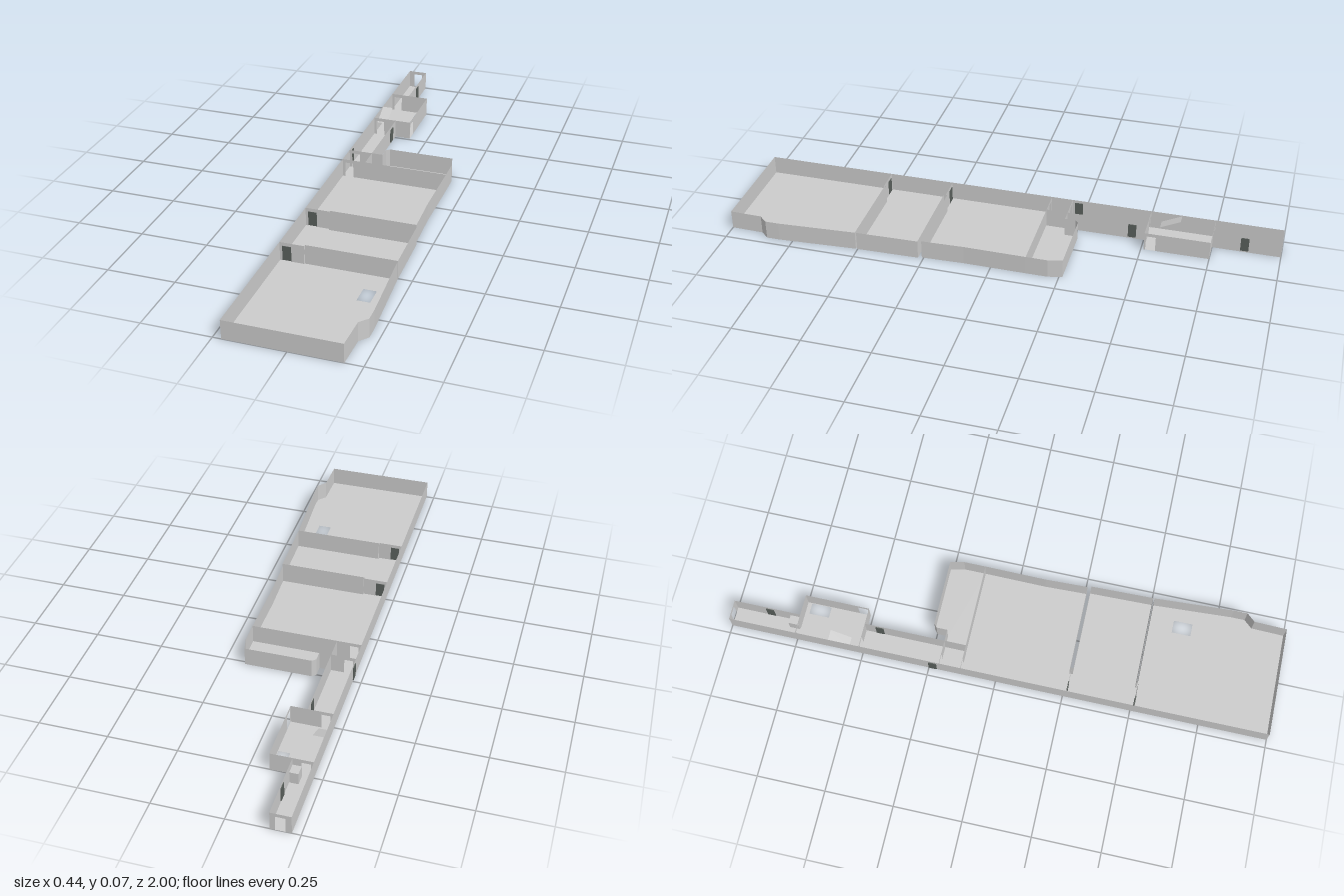
import * as THREE from 'three';

const H = 0.071, DOOR_H = 0.058;
const grey = new THREE.MeshStandardMaterial({ color: 0xcccccc, side: THREE.DoubleSide, flatShading: true });
const dark = new THREE.MeshStandardMaterial({ color: 0x5a605c, side: THREE.DoubleSide, flatShading: true });

function rectPath(x0, y0, x1, y1) {
  return new THREE.Path([[x0, y0], [x1, y0], [x1, y1], [x0, y1]].map(p => new THREE.Vector2(...p)));
}

export function createModel() {
  const model = new THREE.Group();
  const add = (name, geo, mat = grey) => {
    const m = new THREE.Mesh(geo, mat);
    m.name = name;
    model.add(m);
    return m;
  };

  // Floor from [x, z] corners, with optional rectangular openings
  const floor = (name, pts, holes = []) => {
    const s = new THREE.Shape(pts.map(([x, z]) => new THREE.Vector2(x, -z)));
    holes.forEach(([x0, z0, x1, z1]) => s.holes.push(rectPath(x0, -z1, x1, -z0)));
    add(name, new THREE.ShapeGeometry(s).rotateX(-Math.PI / 2));
  };

  // Upright wall sheet between two plan points; door = [start, end] along its length
  const wall = (name, [x0, z0], [x1, z1], door) => {
    const len = Math.hypot(x1 - x0, z1 - z0);
    const pts = [[0, 0]];
    if (door) pts.push([door[0], 0], [door[0], DOOR_H], [door[1], DOOR_H], [door[1], 0]);
    pts.push([len, 0], [len, H], [0, H]);
    const geo = new THREE.ShapeGeometry(new THREE.Shape(pts.map(p => new THREE.Vector2(...p))));
    geo.rotateY(-Math.atan2(z1 - z0, x1 - x0)).translate(x0, 0, z0);
    add(name, geo);
  };
  const walls = (name, pts) => pts.slice(1).forEach((p, i) => wall(name, pts[i], p));

  const box = (name, x0, y0, z0, x1, y1, z1, mat) =>
    add(name, new THREE.BoxGeometry(x1 - x0, y1 - y0, z1 - z0), mat)
      .position.set((x0 + x1) / 2, (y0 + y1) / 2, (z0 + z1) / 2);

  const L = -0.22, C = -0.13, B = -0.148, R = -0.07;

  // Floors
  floor('frontRoomFloor',
    [[L, 0.51], [C, 0.51], [C, 0.507], [0.2, 0.507], [0.217, 0.8], [0.217, 0.85], [0.19, 0.88], [0.187, 1], [L, 1]],
    [[0.11, 0.595, 0.157, 0.665]]);
  floor('middleRoomFloor', [[L, 0.27], [0.195, 0.27], [0.2, 0.502], [C, 0.502], [C, 0.51], [L, 0.51]]);
  floor('largeRoomFloor', [[L, -0.13], [0.187, -0.13], [0.185, 0.1], [0.19, 0.257], [C, 0.257], [C, 0.27], [L, 0.27]]);
  floor('alcoveFloor', [[C, -0.13], [C, -0.21], [-0.087, -0.21], [-0.087, -0.25], [-0.073, -0.262],
    [0.175, -0.262], [0.187, -0.21], [0.187, -0.13]]);
  floor('corridorFloor', [[L, -0.51], [C, -0.51], [C, -0.13], [L, -0.13]]);
  floor('smallRoomFloor', [[L, -0.75], [R, -0.75], [R, -0.51], [L, -0.51]], [[-0.113, -0.735, -0.072, -0.66]]);
  floor('backPassageFloor', [[L, -1], [B, -1], [B, -0.75], [L, -0.75]]);

  // Long side wall and front room walls
  wall('longSideWall', [L, -1], [L, 1]);
  walls('frontRoomWall', [[L, 1], [0.187, 1], [0.19, 0.88], [0.217, 0.85], [0.217, 0.8], [0.2, 0.507], [C, 0.507], [C, 0.502]]);
  // Middle and large room walls
  walls('middleRoomWall', [[C, 0.502], [0.2, 0.502], [0.195, 0.27], [C, 0.27], [C, 0.257]]);
  walls('largeRoomWall', [[C, 0.257], [0.19, 0.257], [0.185, 0.1], [0.187, -0.13], [C, -0.13]]);
  // Alcove behind the large room
  walls('alcoveWall', [[C, -0.13], [C, -0.21], [-0.087, -0.21], [-0.087, -0.25], [-0.073, -0.262],
    [0.175, -0.262], [0.187, -0.21], [0.187, -0.13]]);
  // Corridor, small room and back passage
  wall('corridorWall', [C, -0.21], [C, -0.51]);
  wall('smallRoomFrontWall', [C, -0.51], [R, -0.51]);
  wall('smallRoomSideWall', [R, -0.51], [R, -0.75], [0.006, 0.042]);
  wall('smallRoomBackWall', [R, -0.75], [B, -0.75]);
  wall('backPassageWall', [B, -0.75], [B, -1]);
  wall('backEndWall', [L, -1], [B, -1], [0.02, 0.054]);

  // Cross walls with doorways
  [[0.51, C], [0.263, C], [-0.13, C], [-0.21, C], [-0.51, C], [-0.75, B]].forEach(([z, x]) =>
    wall('doorwayWall', [L, z], [x, z], [0.01, 0.042]));

  // Closed door leaves
  [0.51, 0.263].forEach(z => box('door', L + 0.01, 0.003, z - 0.002, L + 0.042, DOOR_H, z + 0.002, dark));
  [[C, -0.455], [B, -0.867], [L, -0.235]].forEach(([x, z]) =>
    box('sideDoor', x - 0.003, 0.006, z - 0.015, x + 0.003, 0.06, z + 0.015, dark));

  // Sloping panel in the small room
  const ramp = new THREE.PlaneGeometry(0.04, Math.hypot(0.075, 0.036));
  ramp.rotateX(-Math.PI / 2 + Math.atan2(0.036, 0.075)).translate(-0.2, 0.05, -0.588);
  add('slopingPanel', ramp);

  // Small cabinet in the back passage
  box('cabinet', -0.18, 0, -0.79, B - 0.001, 0.045, -0.753, grey);

  return model;
}
